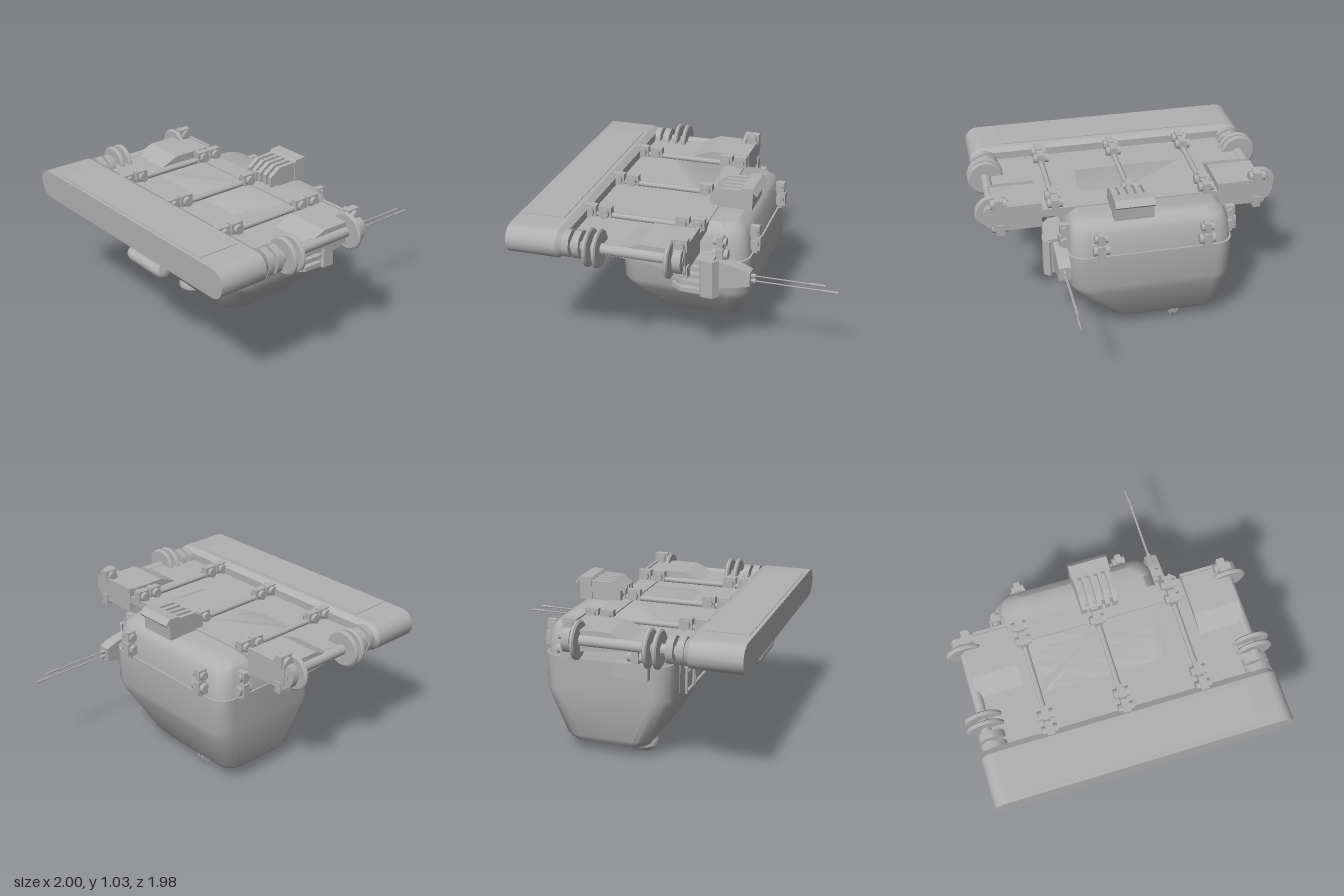
import * as THREE from 'three';
import { toCreasedNormals } from 'three/addons/utils/BufferGeometryUtils.js';

export function createModel() {
  const root = new THREE.Group();
  const grey = new THREE.MeshStandardMaterial({ color: 0xb0b0b0 });
  grey.name = 'plain grey';

  function add(name, geo, x = 0, y = 0, z = 0, parent = root) {
    const m = new THREE.Mesh(geo, grey);
    m.name = name;
    m.position.set(x, y, z);
    parent.add(m);
    return m;
  }
  // box given by its limits
  function block(name, x0, x1, y0, y1, z0, z1, parent = root) {
    return add(name, new THREE.BoxGeometry(x1 - x0, y1 - y0, z1 - z0),
      (x0 + x1) / 2, (y0 + y1) / 2, (z0 + z1) / 2, parent);
  }
  // round rod between two points
  function rod(name, a, b, r, sides = 10, parent = root) {
    const p = new THREE.Vector3(...a), q = new THREE.Vector3(...b);
    const d = q.clone().sub(p);
    const m = add(name, new THREE.CylinderGeometry(r, r, d.length(), sides), 0, 0, 0, parent);
    m.position.copy(p).add(q).multiplyScalar(0.5);
    m.quaternion.setFromUnitVectors(new THREE.Vector3(0, 1, 0), d.normalize());
    return m;
  }
  // rounded-rectangle sections [y, x0, x1, z0, z1, radius], stacked upward
  function loft(rings, seg, crease) {
    const pos = [], idx = [], n = 4 * (seg + 1);
    for (const [y, x0, x1, z0, z1, r] of rings) {
      const centres = [[x1 - r, z0 + r], [x0 + r, z0 + r], [x0 + r, z1 - r], [x1 - r, z1 - r]];
      centres.forEach(([cx, cz], k) => {
        for (let i = 0; i <= seg; i++) {
          const t = (k + i / seg) * Math.PI / 2;
          pos.push(cx + r * Math.cos(t), y, cz - r * Math.sin(t));
        }
      });
    }
    for (let i = 0; i < rings.length - 1; i++) {
      for (let j = 0; j < n; j++) {
        const a = i * n + j, b = i * n + (j + 1) % n;
        idx.push(a, b, a + n, b, b + n, a + n);
      }
    }
    const top = (rings.length - 1) * n;
    for (let j = 1; j < n - 1; j++) idx.push(0, j + 1, j, top, top + j, top + j + 1);
    const g = new THREE.BufferGeometry();
    g.setAttribute('position', new THREE.Float32BufferAttribute(pos, 3));
    g.setIndex(idx);
    return toCreasedNormals(g, crease);
  }
  // profile of [distance backward, height], extruded along x
  function profile(points, width) {
    const s = new THREE.Shape(points.map(p => new THREE.Vector2(...p)));
    return new THREE.ExtrudeGeometry(s, { depth: width, bevelEnabled: false }).rotateY(Math.PI / 2);
  }

  // Hull and its lid
  add('hull', loft([
    [0.06, -0.5, 0.06, -0.2, 0.22, 0.08],
    [0.075, -0.555, 0.12, -0.25, 0.265, 0.1],
    [0.12, -0.59, 0.19, -0.285, 0.3, 0.11],
    [0.37, -0.62, 0.42, -0.39, 0.43, 0.13],
    [0.43, -0.625, 0.445, -0.405, 0.45, 0.12],
    [0.66, -0.63, 0.45, -0.4, 0.45, 0.11]], 5, 0.6));
  add('lid', loft([
    [0.66, -0.62, 0.44, -0.388, 0.44, 0.11],
    [0.8, -0.605, 0.43, -0.375, 0.43, 0.11],
    [0.85, -0.58, 0.41, -0.35, 0.41, 0.11],
    [0.885, -0.52, 0.36, -0.3, 0.36, 0.09]], 5, 0.6));

  // Front beam with rounded ends
  add('frontBeam', loft([
    [0.62, -0.93, 0.93, -0.935, -0.8, 0.065],
    [0.66, -0.96, 0.96, -0.96, -0.775, 0.09],
    [0.985, -0.96, 0.96, -0.96, -0.775, 0.09]], 6, 0.5).rotateX(Math.PI / 2));
  block('beamTopPanel', -0.73, 0.73, 0.955, 0.964, 0.69, 0.96);

  // Deck
  block('deck', -0.9, 0.9, 0.84, 0.885, -0.13, 0.64);
  block('deckRearPlate', -0.57, 0.57, 0.88, 0.893, -0.13, 0);

  // Clamp: a hexagonal barrel with a strap; outward is local +z
  function clamp(name, x, y, z, rx = 0, ry = 0, size = 1) {
    const g = new THREE.Group();
    g.name = name;
    block('strap', -0.025, 0.025, -0.045, 0.045, -0.03, 0.045, g);
    rod('barrel', [-0.052, 0, 0.005], [0.052, 0, 0.005], 0.034, 8, g);
    g.position.set(x, y, z);
    g.rotation.set(rx, ry, 0);
    g.scale.setScalar(size);
    root.add(g);
  }
  for (const x of [-0.505, -0.015, 0.49]) {
    rod('deckTube', [x, 0.9, -0.12], [x, 0.9, 0.63], 0.018);
    for (const z of [-0.1, 0, 0.51, 0.61]) clamp('deckClamp', x, 0.915, z, -Math.PI / 2, 0, 0.95);
  }

  // Lid latches, with a short strap above and below each
  function latch(x, z, ry) {
    clamp('lidLatch', x, 0.715, z, 0, ry);
    clamp('lidHook', x, 0.8, z, 0, ry, 0.8);
    const m = block('latchStrap', -0.022, 0.022, 0.65, 0.83, -0.025, 0.02);
    m.position.x = x;
    m.position.z = z;
    m.rotation.y = ry;
  }
  for (const x of [-0.44, 0.25]) {
    latch(x, -0.395, Math.PI);
    latch(x, 0.45, 0);
  }
  for (const z of [-0.23, 0.235]) {
    latch(-0.63, z, -Math.PI / 2);
    latch(0.45, z, Math.PI / 2);
  }

  // Side gear, mirrored: raised wings, axles, guide discs and brackets
  const discProfile = [[0, -0.014], [0.108, -0.014], [0.12, -0.006], [0.12, 0.006], [0.108, 0.014], [0, 0.014]]
    .map(p => new THREE.Vector2(...p));
  const disc = toCreasedNormals(new THREE.LatheGeometry(discProfile, 32).rotateX(Math.PI / 2), 0.5);
  const wing = profile([[-0.275, 0.83], [0.13, 0.79], [0.13, 0.935], [-0.15, 0.935], [-0.275, 0.885]], 0.3);
  for (const s of [-1, 1]) {
    add('wing', wing, s > 0 ? 0.585 : -0.885);
    add('wingRearPlate', new THREE.BoxGeometry(0.31, 0.17, 0.02), s * 0.735, 0.86, -0.125);
    rod('axle', [s * 0.88, 0.87, -0.13], [s * 0.88, 0.87, 0.64], 0.035, 16);
    for (const z of [-0.045, 0.405, 0.465]) add('guideDisc', disc, s * 0.88, 0.87, z);
    add('rearBracket', new THREE.BoxGeometry(0.05, 0.24, 0.06), s * 0.845, 0.87, -0.1);
    add('rearHub', new THREE.CylinderGeometry(0.09, 0.09, 0.05, 8).rotateX(Math.PI / 2), s * 0.87, 0.87, -0.1);
    for (const z of [0.54, 0.605]) {
      add('axleCollar', new THREE.CylinderGeometry(0.09, 0.09, 0.045, 8).rotateX(Math.PI / 2), s * 0.86, 0.87, z);
    }
    clamp('wingClamp', s * 0.85, 0.95, -0.1, -Math.PI / 2);
    clamp('wingClampLow', s * 0.85, 0.79, -0.1, Math.PI / 2);
  }

  // Ribbed vent: length runs toward local -z, height toward local +y
  function vent(name) {
    const g = new THREE.Group();
    g.name = name;
    const rib = profile([[0, 0], [0.22, 0], [0.22, 0.13], [0.07, 0.125], [0, 0.075]], 0.03);
    for (let i = 0; i < 5; i++) add('rib', rib, -0.12 + i * 0.0525, 0, 0, g);
    block('ventCore', -0.12, 0.12, 0, 0.085, -0.23, -0.03, g);
    add('ventHood', profile([[0.2, 0], [0.28, 0], [0.285, 0.12], [0.31, 0.1], [0.318, 0.112],
      [0.285, 0.15], [0.21, 0.145], [0.2, 0.13]], 0.255), -0.1275, 0, 0, g);
    root.add(g);
    return g;
  }
  vent('topVent').position.set(0.025, 0.885, -0.07);
  const side = vent('sideVent');
  side.position.set(0.445, 0.59, 0.07);
  side.rotation.z = -Math.PI / 2;

  // Antenna mount and two whips
  const mount = profile([[0.2, 0.5], [0.36, 0.53], [0.44, 0.55], [0.44, 0.64], [0.36, 0.67], [0.2, 0.7]], 0.08);
  add('antennaMount', mount, 0.45);
  [[0.61, -0.91], [0.575, -0.99]].forEach(([y, end]) => {
    rod('antennaSocket', [0.49, y, -0.4], [0.49, y, -0.47], 0.014);
    rod('antenna', [0.49, y, -0.45], [0.49, y, end], 0.005, 6);
    rod('antennaTip', [0.49, y, end + 0.1], [0.49, y, end], 0.008, 6);
  });

  // Feed pipe from the beam round to the hull
  const v = (x, y, z) => new THREE.Vector3(x, y, z);
  const path = new THREE.CurvePath();
  path.add(new THREE.LineCurve3(v(0.25, 0.8, 0.855), v(0.25, 0.68, 0.855)));
  path.add(new THREE.QuadraticBezierCurve3(v(0.25, 0.68, 0.855), v(0.25, 0.61, 0.855), v(0.18, 0.61, 0.855)));
  path.add(new THREE.LineCurve3(v(0.18, 0.61, 0.855), v(-0.08, 0.61, 0.855)));
  path.add(new THREE.QuadraticBezierCurve3(v(-0.08, 0.61, 0.855), v(-0.145, 0.61, 0.855), v(-0.145, 0.61, 0.79)));
  path.add(new THREE.LineCurve3(v(-0.145, 0.61, 0.79), v(-0.145, 0.61, 0.43)));
  add('feedPipe', new THREE.TubeGeometry(path, 60, 0.038, 14));
  rod('pipeFlange', [-0.145, 0.61, 0.44], [-0.145, 0.61, 0.475], 0.055, 16);

  // Front panel, its thin piping and small buttons
  block('frontPanel', -0.44, 0.06, 0.44, 0.65, 0.445, 0.454);
  for (const x of [-0.34, -0.185, -0.16, 0.115, 0.14]) {
    rod('panelPipeUpright', [x, 0.4, 0.465], [x, x < -0.3 ? 0.6 : 0.56, 0.465], 0.01, 8);
  }
  for (const y of [0.41, 0.54]) rod('panelPipe', [-0.34, y, 0.465], [0.15, y, 0.465], 0.01, 8);
  rod('panelPipe', [-0.35, 0.585, 0.465], [-0.2, 0.585, 0.465], 0.014, 8);
  for (const x of [0.09, 0.135]) block('button', x - 0.015, x + 0.015, 0.67, 0.705, 0.435, 0.444);
  block('sideBox', -0.675, -0.61, 0.58, 0.68, 0.1, 0.32);

  // Flared foot below the hull
  const foot = [[0, 0.03], [0.055, 0.03], [0.06, 0.012], [0.075, 0.012], [0.1, 0.045], [0.1, 0.07], [0.08, 0.11]];
  add('foot', toCreasedNormals(new THREE.LatheGeometry(foot.map(p => new THREE.Vector2(...p)), 28), 0.5), -0.375, 0, 0.19);

  // Twin keel discs
  for (const x of [-0.295, -0.262]) rod('keelDisc', [x - 0.006, 0.075, -0.18], [x + 0.006, 0.075, -0.18], 0.075, 28);

  return root;
}
